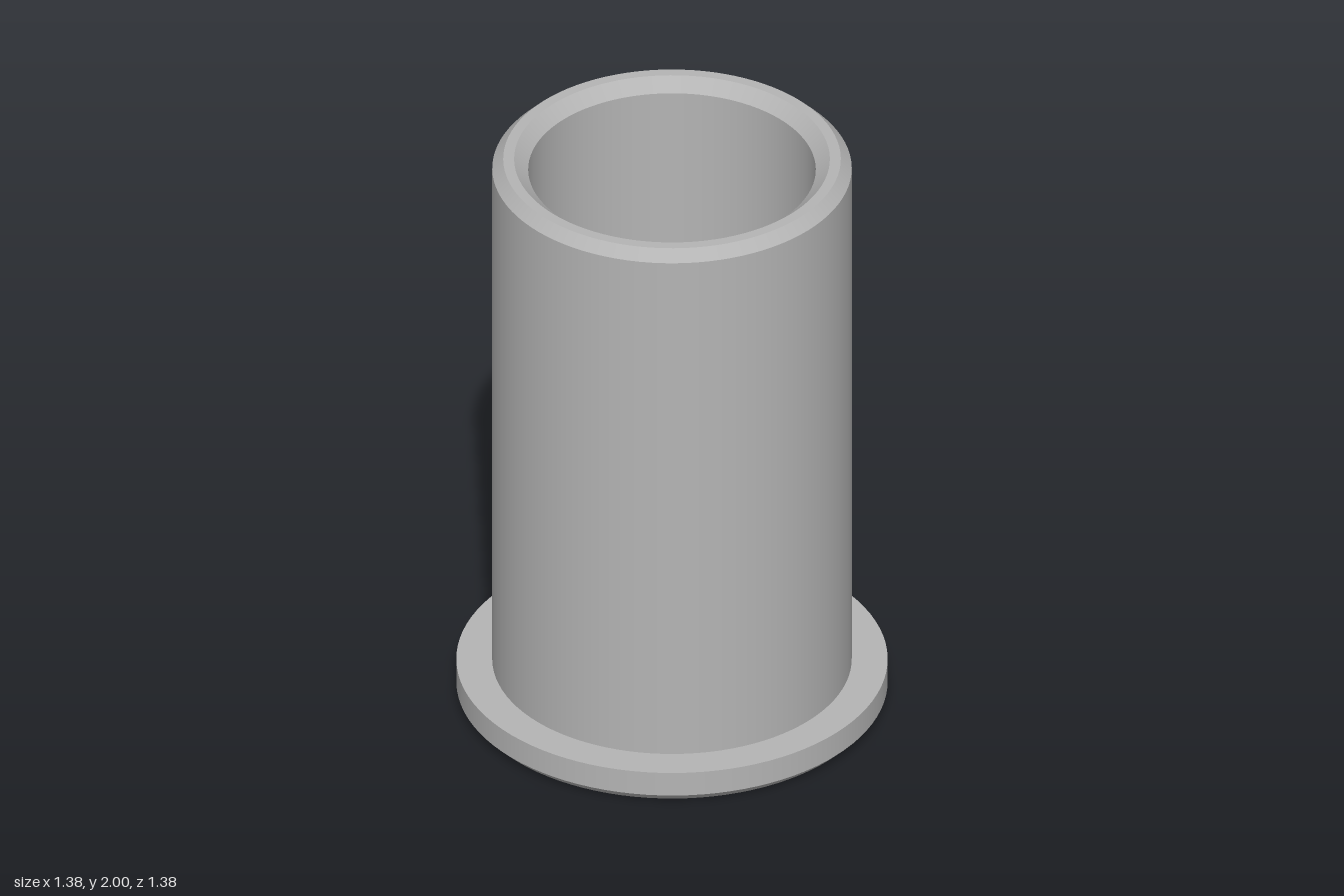
import * as THREE from 'three';
import { mergeGeometries } from 'three/addons/utils/BufferGeometryUtils.js';

const SIDES = 96;

// Revolve each profile segment on its own so that the edges between them stay sharp.
function turned(profile) {
  const rings = [];
  for (let i = 0; i < profile.length - 1; i++) {
    const pair = [profile[i], profile[i + 1]].map(([r, y]) => new THREE.Vector2(r, y));
    rings.push(new THREE.LatheGeometry(pair, SIDES));
  }
  return mergeGeometries(rings);
}

export function createModel() {
  const group = new THREE.Group();
  group.name = 'flangedSleeve';
  const steel = new THREE.MeshStandardMaterial({ color: 0xb4b4b4 });
  steel.name = 'grey steel';

  // Profiles run up the outside and down the inside, as [radius, height]
  const parts = {
    // bottom face, chamfered rim and upper shoulder
    flange: [[0.405, 0], [0.66, 0], [0.69, 0.03], [0.69, 0.115], [0.575, 0.115]],
    // outer wall, chamfered top lip
    sleeve: [[0.575, 0.115], [0.575, 1.965], [0.54, 2], [0.505, 2], [0.46, 1.96]],
    // wide upper bore and its flat floor
    upperBore: [[0.46, 1.96], [0.46, 0.7], [0.23, 0.7]],
    // narrow through hole
    throughHole: [[0.23, 0.7], [0.23, 0.51]],
    // tapered seat, lower bore and entry chamfer
    lowerBore: [[0.23, 0.51], [0.36, 0.38], [0.36, 0.045], [0.405, 0]],
  };

  for (const [name, profile] of Object.entries(parts)) {
    const mesh = new THREE.Mesh(turned(profile), steel);
    mesh.name = name;
    group.add(mesh);
  }
  return group;
}
